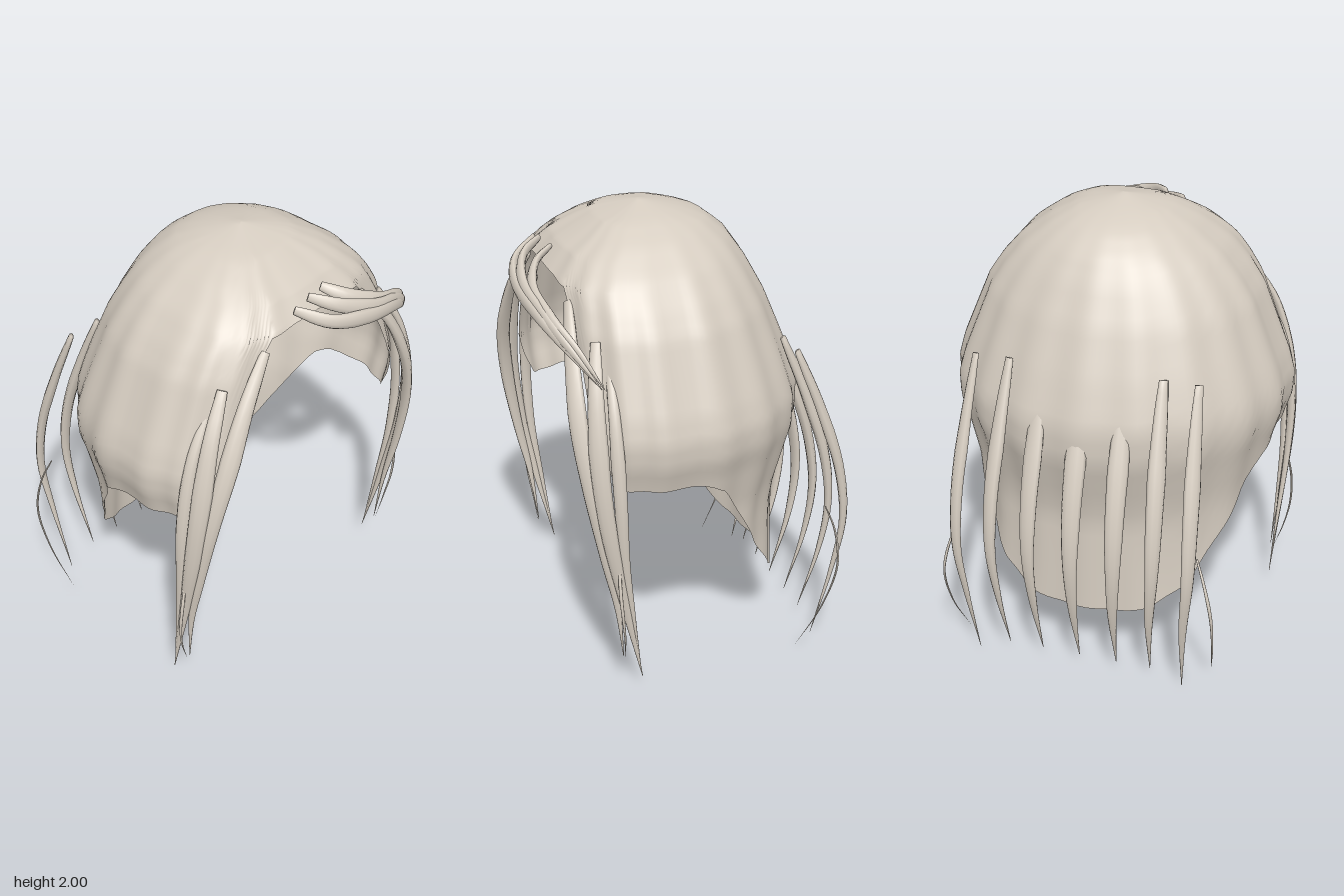
import * as THREE from 'three';
import { mergeVertices } from 'three/addons/utils/BufferGeometryUtils.js';

// piecewise-linear lookup in a list of [key, value] with rising keys
function lookup(table, k) {
  if (k <= table[0][0]) return table[0][1];
  for (let i = 1; i < table.length; i++) {
    const [a, va] = table[i - 1], [b, vb] = table[i];
    if (k <= b) return va + (vb - va) * (k - a) / (b - a);
  }
  return table[table.length - 1][1];
}

// surface from rows of points; each row is a closed ring
function loft(rows) {
  const n = rows[0].length, pos = [], idx = [];
  rows.forEach(r => r.forEach(p => pos.push(p.x, p.y, p.z)));
  for (let j = 0; j < rows.length - 1; j++) {
    for (let i = 0; i < n; i++) {
      const a = j * n + i, b = j * n + (i + 1) % n;
      idx.push(a, a + n, b, b, a + n, b + n);
    }
  }
  let g = new THREE.BufferGeometry();
  g.setAttribute('position', new THREE.Float32BufferAttribute(pos, 3));
  g.setIndex(idx);
  g = mergeVertices(g, 1e-5);
  g.computeVertexNormals();
  return g;
}

// cap profile by height: half width, front depth, back depth
const halfWidth = [[0.26, 0.7], [0.4, 0.665], [0.55, 0.65], [0.8, 0.66], [1, 0.7], [1.1, 0.733], [1.2, 0.737],
  [1.3, 0.71], [1.4, 0.67], [1.6, 0.59], [1.7, 0.525], [1.8, 0.44], [1.9, 0.31], [1.96, 0.19], [2, 0]];
const frontDepth = [[1, 0.44], [1.2, 0.46], [1.6, 0.45], [1.76, 0.43], [1.85, 0.35], [1.95, 0.19], [2, 0]];
const backDepth = [[0.26, 0.57], [0.7, 0.57], [0.8, 0.59], [1.05, 0.665], [1.2, 0.665], [1.4, 0.6], [1.6, 0.52],
  [1.75, 0.44], [1.85, 0.37], [1.93, 0.27], [1.97, 0.15], [2, 0]];
// hem height by angle from the front
const hem = [[0, 1.77], [0.4, 1.75], [0.5, 1.62], [0.61, 1.45], [0.695, 1.22], [0.8, 1.08], [0.92, 1.0], [1.0, 0.98],
  [1.58, 0.98], [1.68, 0.965], [1.8, 0.92], [2.015, 0.74], [2.23, 0.55], [2.48, 0.38], [2.72, 0.285], [2.9, 0.262], [3.15, 0.26]];

function capGeometry() {
  const rows = [], around = 144, down = 40;
  for (let j = 0; j <= down; j++) {
    const row = [], t = j / down;
    for (let i = 0; i < around; i++) {
      const th = i / around * Math.PI * 2;
      const fromFront = Math.min(th, Math.PI * 2 - th);
      const y = 2 - (2 - lookup(hem, fromFront)) * Math.pow(t, 1.5);
      const s = Math.sin(th), c = Math.cos(th);
      const e = c > 0 ? 0.667 : 1; // squarer plan at the front
      const wave = 1 + 0.011 * Math.cos(th * 18) * Math.min(1, t * 2);
      const depth = lookup(c > 0 ? frontDepth : backDepth, y);
      row.push(new THREE.Vector3(
        lookup(halfWidth, y) * Math.sign(s) * Math.pow(Math.abs(s), e) * wave, y,
        0.1 + depth * Math.sign(c) * Math.pow(Math.abs(c), e) * wave));
    }
    rows.push(row);
  }
  return loft(rows);
}

// flattened lock of hair tapering along a curve
const taper = [[0, 0.5], [0.08, 0.72], [0.28, 1], [0.5, 0.85], [0.75, 0.5], [1, 0.03]];
function lockGeometry(points, width, thick) {
  const curve = new THREE.CatmullRomCurve3(points.map(p => new THREE.Vector3(...p)));
  const steps = 28, sides = 10, rows = [];
  const first = curve.getPointAt(0);
  rows.push(Array.from({ length: sides }, () => first.clone()));
  for (let j = 0; j <= steps; j++) {
    const t = j / steps, p = curve.getPointAt(t), tan = curve.getTangentAt(t);
    const out = new THREE.Vector3(p.x, 0, p.z - 0.1);
    const side = new THREE.Vector3().crossVectors(tan, out).normalize();
    const up = new THREE.Vector3().crossVectors(side, tan).normalize();
    const k = lookup(taper, t) / 2, row = [];
    for (let i = 0; i < sides; i++) {
      const a = i / sides * Math.PI * 2;
      row.push(p.clone().addScaledVector(side, Math.cos(a) * width * k)
        .addScaledVector(up, Math.sin(a) * thick * k));
    }
    rows.push(row);
  }
  return loft(rows);
}

export function createModel() {
  const model = new THREE.Group();
  const hair = new THREE.MeshStandardMaterial({ color: 0xd6cdc1, side: THREE.DoubleSide });
  hair.name = 'paleHair';
  const add = (name, geometry) => {
    const m = new THREE.Mesh(geometry, hair);
    m.name = name;
    model.add(m);
  };
  const addPair = (name, pts, w, t) => {
    add(name + 'Left', lockGeometry(pts, w, t));
    add(name + 'Right', lockGeometry(pts.map(([x, y, z]) => [-x, y, z]), w, t));
  };

  add('hairCap', capGeometry());

  // row of locks down the back
  const backPath = (x0, x1, x2, end) => [[x0, 1.42, -0.43], [(x0 + x1) / 2, 1.15, -0.54], [x1, 0.85, -0.635],
    [x1, 0.6, -0.665], [(x1 + x2) / 2, 0.35, -0.635], [x2, end, -0.55]];
  add('backLockCentre', lockGeometry(backPath(0, 0, 0, 0.06), 0.095, 0.05));
  addPair('backLockInner', backPath(0.18, 0.19, 0.17, 0.06), 0.09, 0.05);
  addPair('backLockMiddle', backPath(0.335, 0.36, 0.325, 0.06), 0.08, 0.05);
  addPair('backLockOuter', backPath(0.485, 0.515, 0.47, 0), 0.075, 0.045);
  addPair('backWisp', [[0.53, 0.68, -0.57], [0.57, 0.58, -0.6], [0.605, 0.42, -0.605],
    [0.6, 0.22, -0.54], [0.57, 0.02, -0.43]], 0.016, 0.01);

  // locks framing the face
  addPair('templeLockFront', [[0.29, 1.7, 0.505], [0.44, 1.52, 0.54], [0.57, 1.25, 0.555], [0.635, 1.0, 0.53],
    [0.655, 0.7, 0.48], [0.65, 0.45, 0.43], [0.635, 0.19, 0.4]], 0.085, 0.05);
  addPair('templeLockMiddle', [[0.485, 1.59, 0.455], [0.59, 1.4, 0.49], [0.665, 1.1, 0.5], [0.685, 0.8, 0.47],
    [0.67, 0.45, 0.4], [0.65, 0.08, 0.32]], 0.085, 0.045);
  addPair('templeLockBack', [[0.52, 1.5, 0.41], [0.63, 1.3, 0.425], [0.69, 1.0, 0.425], [0.69, 0.7, 0.41],
    [0.67, 0.4, 0.37], [0.65, 0.1, 0.325]], 0.06, 0.04);
  addPair('templeWisp', [[0.68, 0.7, 0.43], [0.71, 0.55, 0.435], [0.713, 0.42, 0.425],
    [0.69, 0.3, 0.41], [0.65, 0.18, 0.4]], 0.016, 0.01);

  // fringe swept to the left
  const fringe = [
    [[-0.14, 1.83, 0.52], [-0.04, 1.78, 0.63], [0.13, 1.74, 0.675], [0.34, 1.68, 0.65], [0.5, 1.57, 0.57], [0.6, 1.44, 0.47]],
    [[-0.06, 1.855, 0.52], [0.02, 1.82, 0.61], [0.18, 1.755, 0.66], [0.37, 1.685, 0.63], [0.52, 1.575, 0.56], [0.61, 1.44, 0.47]],
    [[0.04, 1.85, 0.5], [0.1, 1.815, 0.58], [0.23, 1.75, 0.635], [0.4, 1.68, 0.61], [0.53, 1.58, 0.54], [0.62, 1.44, 0.46]]];
  fringe.forEach((pts, i) => add('fringeLock' + (i + 1), lockGeometry(pts, 0.075, 0.04)));

  return model;
}
